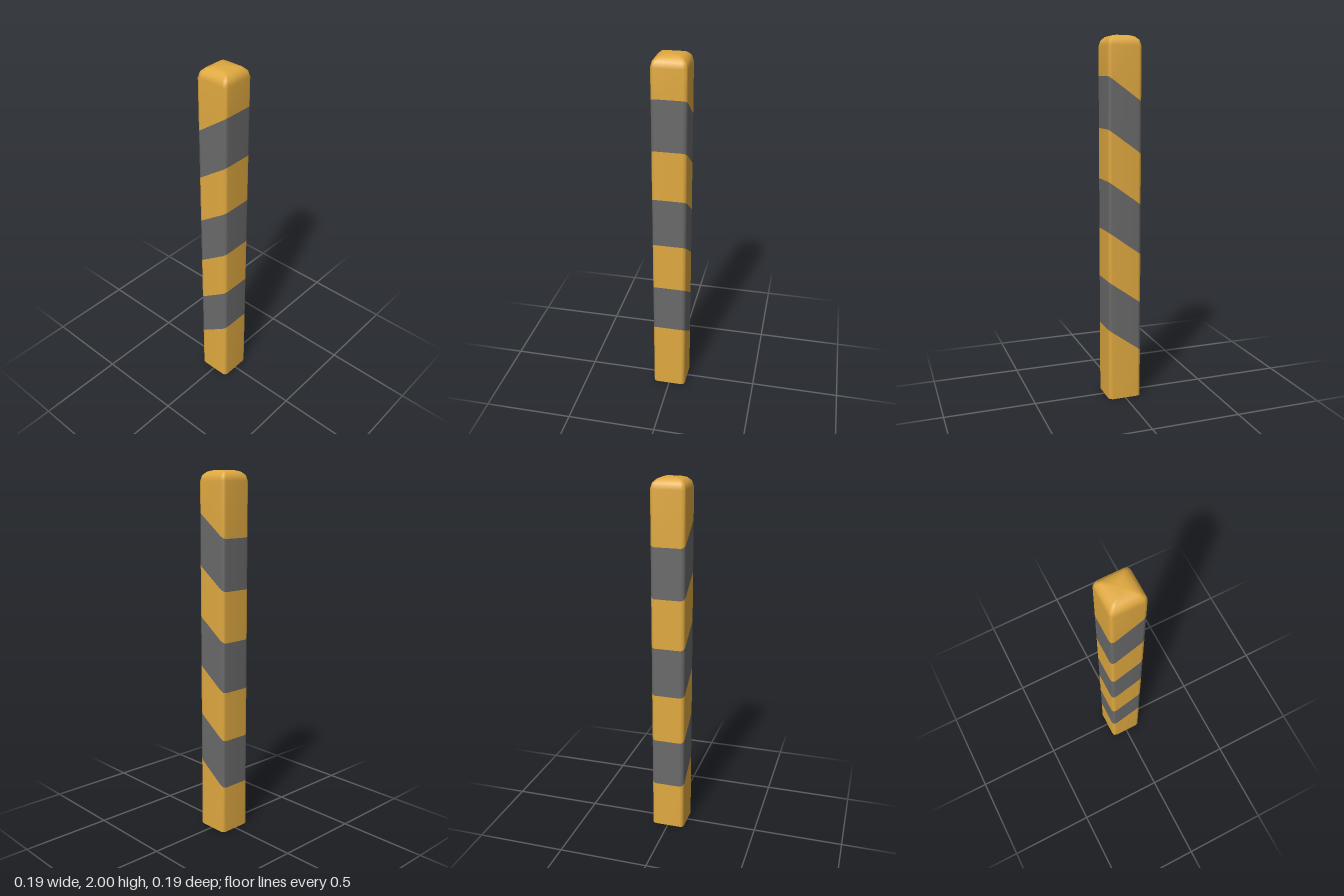
import * as THREE from 'three';

const HALF = 0.0945;   // half width of the post
const ROUND = 0.021;   // corner radius
const SLOPE = 0.72;    // rise of the stripe edges along x

// Rounded-square outline, counter-clockwise seen from above
function outline(half) {
  const r = ROUND * half / HALF;
  const points = [];
  for (let corner = 0; corner < 4; corner++) {
    const mid = (corner + 0.5) * Math.PI / 2;
    const cx = Math.sign(Math.cos(mid)) * (half - r);
    const cz = -Math.sign(Math.sin(mid)) * (half - r);
    for (let k = 0; k < 3; k++) {
      const a = (corner + k / 2) * Math.PI / 2;
      points.push([cx + r * Math.cos(a), cz - r * Math.sin(a)]);
    }
  }
  return points;
}

export function createModel() {
  const yellow = new THREE.MeshStandardMaterial({ color: 0xe0a940, side: THREE.DoubleSide });
  yellow.name = 'warm yellow';
  const grey = new THREE.MeshStandardMaterial({ color: 0x6a6a6a, side: THREE.DoubleSide });
  grey.name = 'dark grey';

  // Rings from the open foot, through the slanted stripe edges, to the domed top
  const rings = [{ y: 0, half: HALF, slope: 0 }];
  for (let k = 0; k < 6; k++) rings.push({ y: 0.339 + 0.2765 * k, half: HALF, slope: SLOPE });
  for (const [y, half] of [[1.945, HALF], [1.974, 0.086], [1.992, 0.066], [2, 0.038]]) {
    rings.push({ y, half, slope: 0 });
  }

  const positions = [];
  for (const { y, half, slope } of rings) {
    for (const [x, z] of outline(half)) positions.push(x, y + slope * x, z);
  }
  positions.push(0, 2, 0);

  // Walls between rings: every second band of the shaft is a grey stripe
  const n = 12;
  const geometry = new THREE.BufferGeometry();
  const index = [];
  for (let i = 0; i < rings.length - 1; i++) {
    const start = index.length;
    for (let j = 0; j < n; j++) {
      const a = i * n + j, b = i * n + (j + 1) % n;
      index.push(a, b, b + n, a, b + n, a + n);
    }
    const striped = i === 1 || i === 3 || i === 5;
    geometry.addGroup(start, index.length - start, striped ? 1 : 0);
  }

  // Flat centre of the top
  const capStart = index.length, last = (rings.length - 1) * n;
  for (let j = 0; j < n; j++) index.push(last + j, last + (j + 1) % n, last + n);
  geometry.addGroup(capStart, index.length - capStart, 0);

  geometry.setAttribute('position', new THREE.Float32BufferAttribute(positions, 3));
  geometry.setIndex(index);
  geometry.computeVertexNormals();

  const post = new THREE.Mesh(geometry, [yellow, grey]);
  post.name = 'stripedPost';
  const model = new THREE.Group();
  model.name = 'warningPost';
  model.add(post);
  return model;
}
